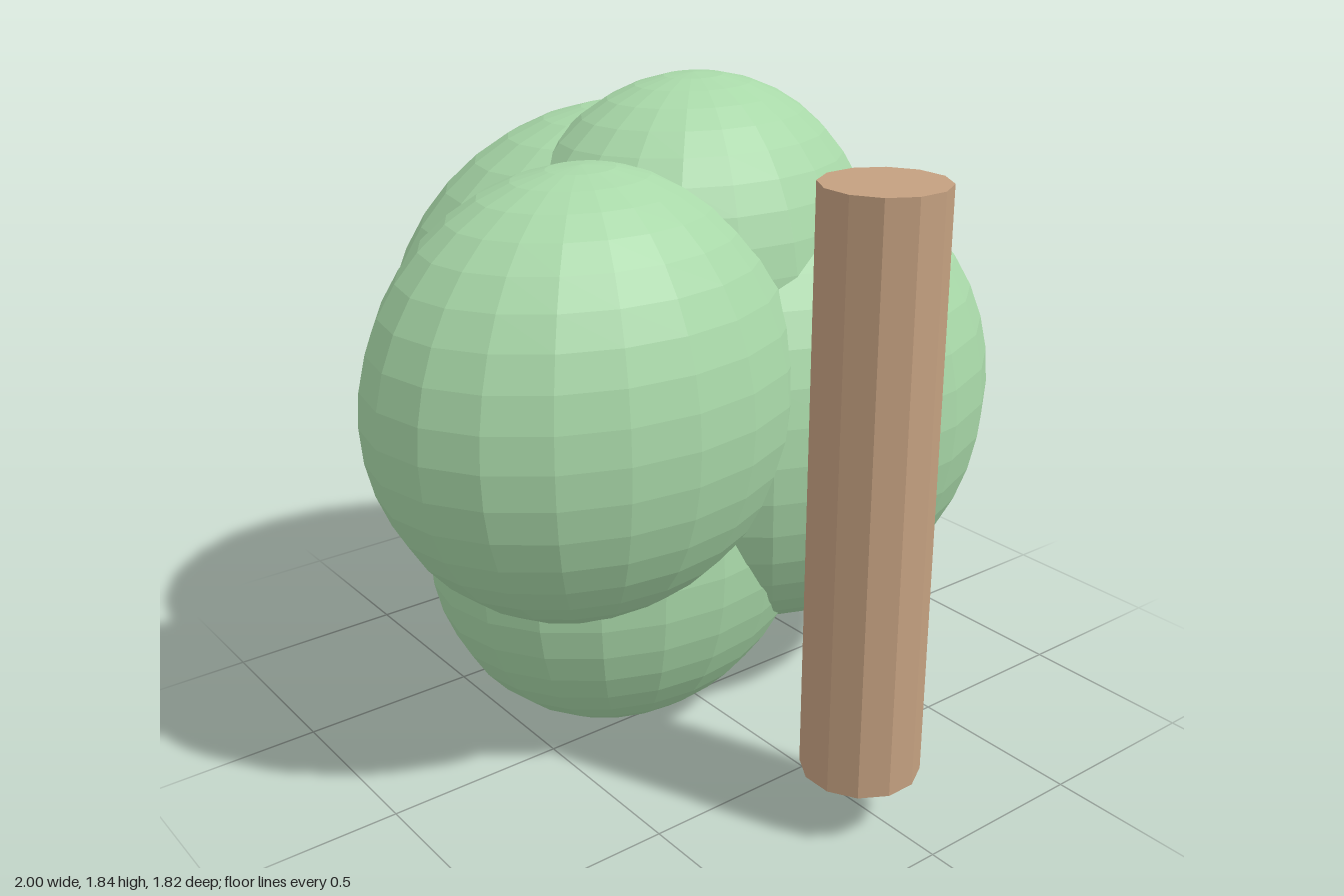
import * as THREE from 'three';

export function createModel() {
  const model = new THREE.Group();
  model.name = 'tree';

  const leafGreen = new THREE.MeshStandardMaterial({ color: 0xa8d8a8, flatShading: true });
  leafGreen.name = 'leaf green';
  const barkBrown = new THREE.MeshStandardMaterial({ color: 0xc4a080, flatShading: true });
  barkBrown.name = 'bark brown';

  // Foliage: overlapping balls, flattened front to back
  const ball = new THREE.SphereGeometry(1, 20, 20);
  const foliage = new THREE.Group();
  foliage.name = 'foliage';
  const puffs = [
    // name, radius, x, y, z
    ['rightPuff', 0.61, -0.39, 1.07, 0.05],
    ['leftPuff', 0.67, 0.325, 0.9, 0],
    ['topPuff', 0.555, 0.09, 1.285, -0.11],
    ['backPuff', 0.73, 0, 1.01, -0.33],
    ['bottomPuff', 0.58, -0.165, 0.585, -0.11],
  ];
  for (const [name, r, x, y, z] of puffs) {
    const puff = new THREE.Mesh(ball, leafGreen);
    puff.name = name;
    puff.scale.set(r, r, r * 0.8);
    puff.position.set(x, y, z);
    foliage.add(puff);
  }
  model.add(foliage);

  // Trunk: a straight post standing in front of the foliage
  const trunk = new THREE.Mesh(new THREE.CylinderGeometry(0.157, 0.157, 1.55, 12), barkBrown);
  trunk.name = 'trunk';
  trunk.rotation.y = Math.PI / 12;
  trunk.position.set(-0.035, 0.94, 0.757);
  model.add(trunk);

  return model;
}
